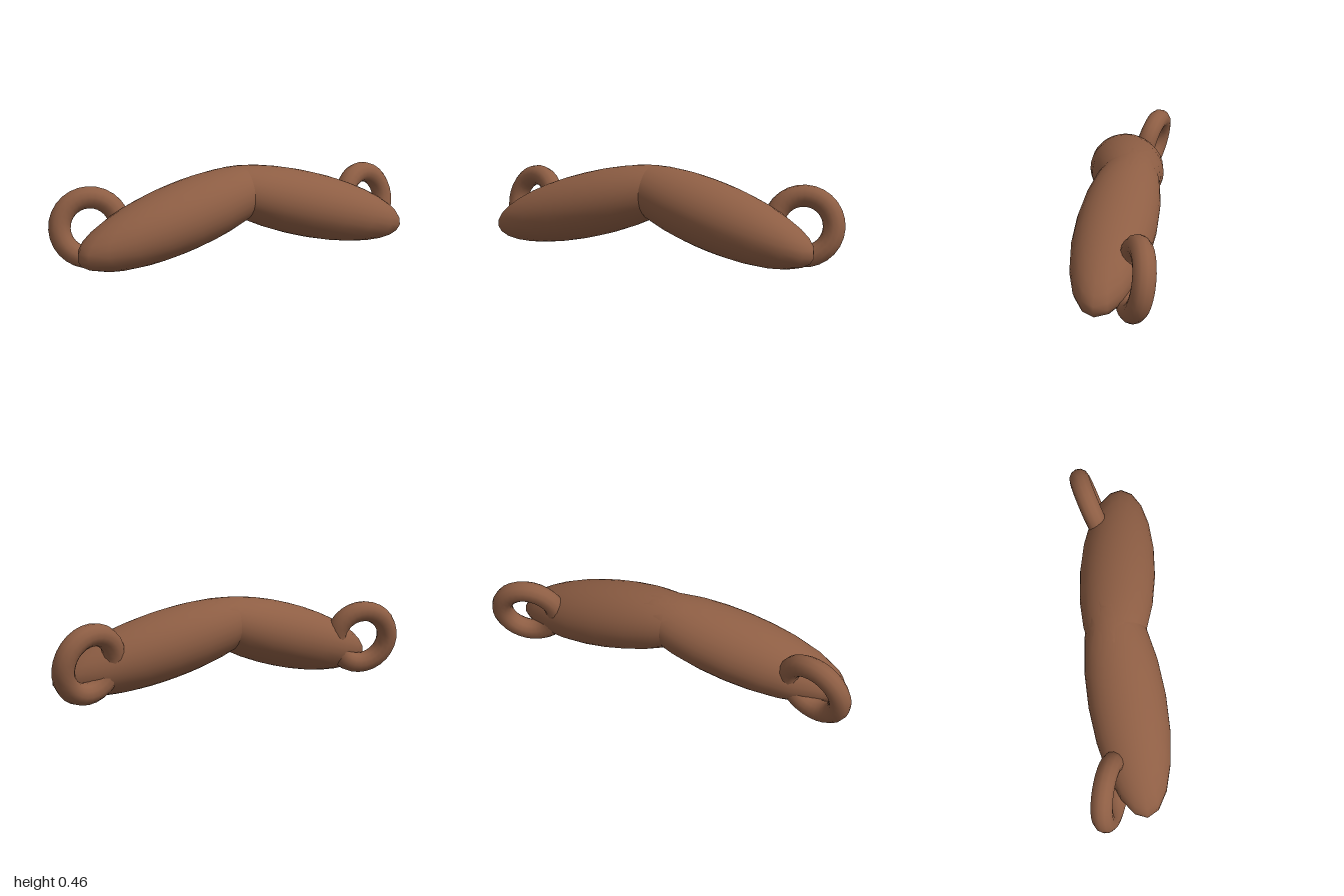
import * as THREE from 'three';

export function createModel() {
  const model = new THREE.Group();
  model.name = 'curledMoustache';

  const brown = new THREE.MeshStandardMaterial({ color: 0x8e5e44 });
  brown.name = 'brown';

  const lobeGeometry = new THREE.SphereGeometry(1, 20, 16);
  const curlGeometry = new THREE.TorusGeometry(0.15, 0.055, 12, 28);

  for (const [side, s] of [['left', 1], ['right', -1]]) {
    // Long drooping lobe, overlapping its twin in the middle
    const lobe = new THREE.Mesh(lobeGeometry, brown);
    lobe.name = side + 'Lobe';
    lobe.scale.set(0.595, 0.173, 0.2);
    lobe.rotation.set(0, -0.107 * s, -0.263 * s, 'YZX');
    lobe.position.set(0.35 * s, 0.243, 0.003);
    model.add(lobe);

    // Ring-shaped curl behind the tip, leaning back and outward
    const curl = new THREE.Mesh(curlGeometry, brown);
    curl.name = side + 'Curl';
    const normal = new THREE.Vector3(0.28 * s, 0.21, 1).normalize();
    curl.quaternion.setFromUnitVectors(new THREE.Vector3(0, 0, 1), normal);
    curl.position.set(0.8 * s, 0.207, -0.115);
    model.add(curl);
  }
  return model;
}
